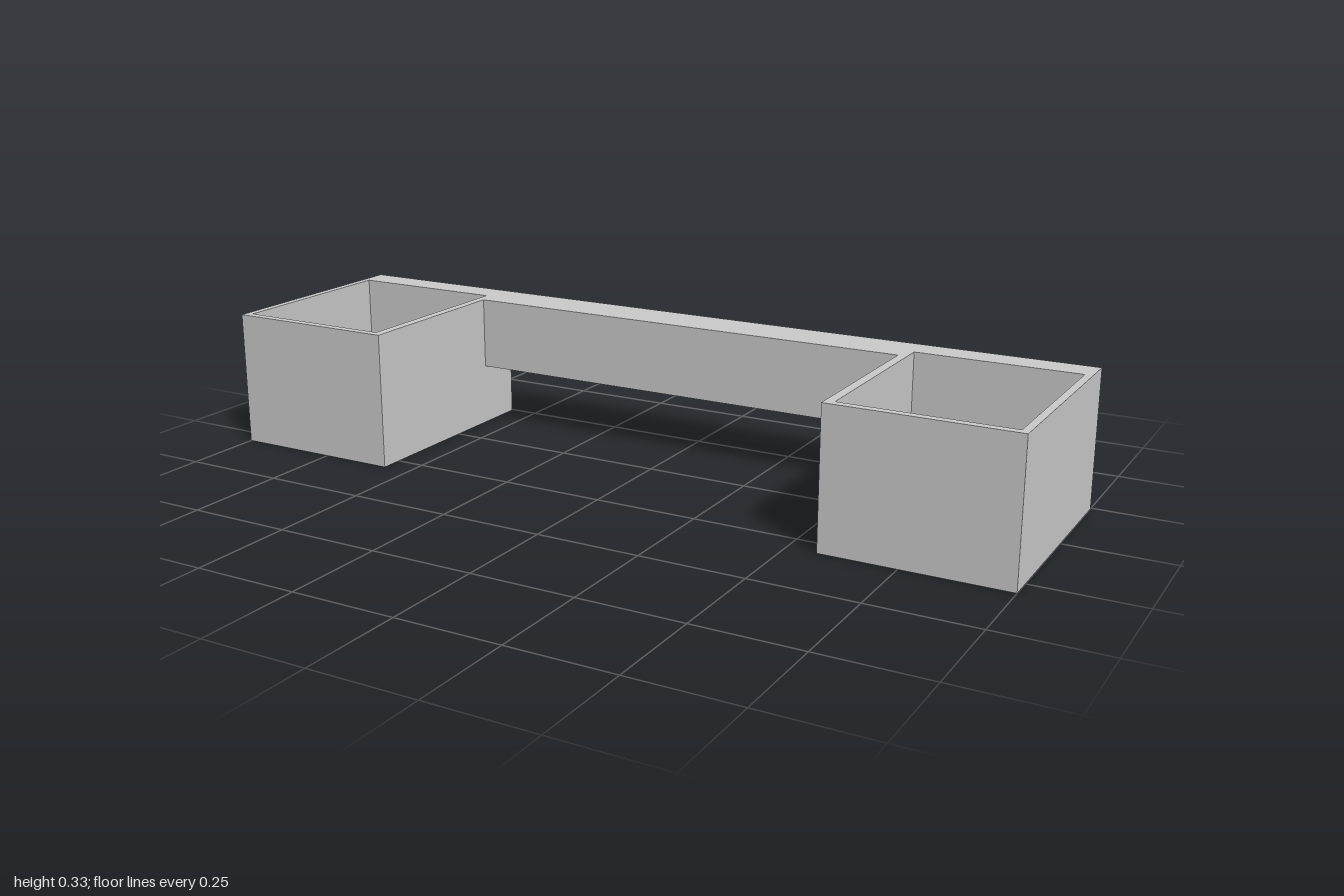
import * as THREE from 'three';

export function createModel() {
  const model = new THREE.Group();
  const grey = new THREE.MeshStandardMaterial({ color: 0xcccccc });
  grey.name = 'lightGrey';

  const add = (parent, name, geometry, x = 0, y = 0, z = 0) => {
    const mesh = new THREE.Mesh(geometry, grey);
    mesh.name = name;
    mesh.position.set(x, y, z);
    parent.add(mesh);
  };

  // Counter-clockwise rectangle in plan
  const rect = (Type, x0, x1, z0, z1) => new Type([
    new THREE.Vector2(x0, -z1), new THREE.Vector2(x1, -z1),
    new THREE.Vector2(x1, -z0), new THREE.Vector2(x0, -z0),
  ]);

  // Horizontal slab with a rectangular opening, from y0 to y1
  const openSlab = (outer, hole, y0, y1) => {
    const shape = rect(THREE.Shape, ...outer);
    shape.holes.push(rect(THREE.Path, ...hole));
    return new THREE.ExtrudeGeometry(shape, { depth: y1 - y0, bevelEnabled: false })
      .rotateX(-Math.PI / 2).translate(0, y0, 0);
  };

  const height = 0.33, back = -0.245, front = 0.305;
  const floorY = 0.17, slotY = 0.1;
  const outer = [-0.215, 0.215, back, front];

  for (const side of [-1, 1]) {
    const cup = new THREE.Group();
    cup.name = side > 0 ? 'leftCup' : 'rightCup';
    cup.position.x = side * 0.785;
    model.add(cup);

    // Walls around the cavity, then a floor with a small central recess
    const mid = side * 0.002;
    add(cup, 'cupWalls', openSlab(outer, [mid - 0.195, mid + 0.195, -0.171, 0.285], floorY, height));
    add(cup, 'cupFloor', openSlab(outer, [mid - 0.045, mid + 0.045, -0.008, 0.122], slotY, floorY));
    add(cup, 'cupBase', new THREE.BoxGeometry(0.43, slotY, front - back),
      0, slotY / 2, (front + back) / 2);

    // Two mounting pegs on the back
    for (const y of [0.1, 0.25]) {
      const peg = new THREE.CylinderGeometry(0.05, 0.05, 0.06, 40).rotateX(Math.PI / 2);
      add(cup, 'mountingPeg', peg, 0, y, back - 0.03);
    }
  }

  // Beam joining the cups along the back
  add(model, 'crossBeam', new THREE.BoxGeometry(1.14, 0.178, 0.118), 0, 0.241, -0.186);

  return model;
}
